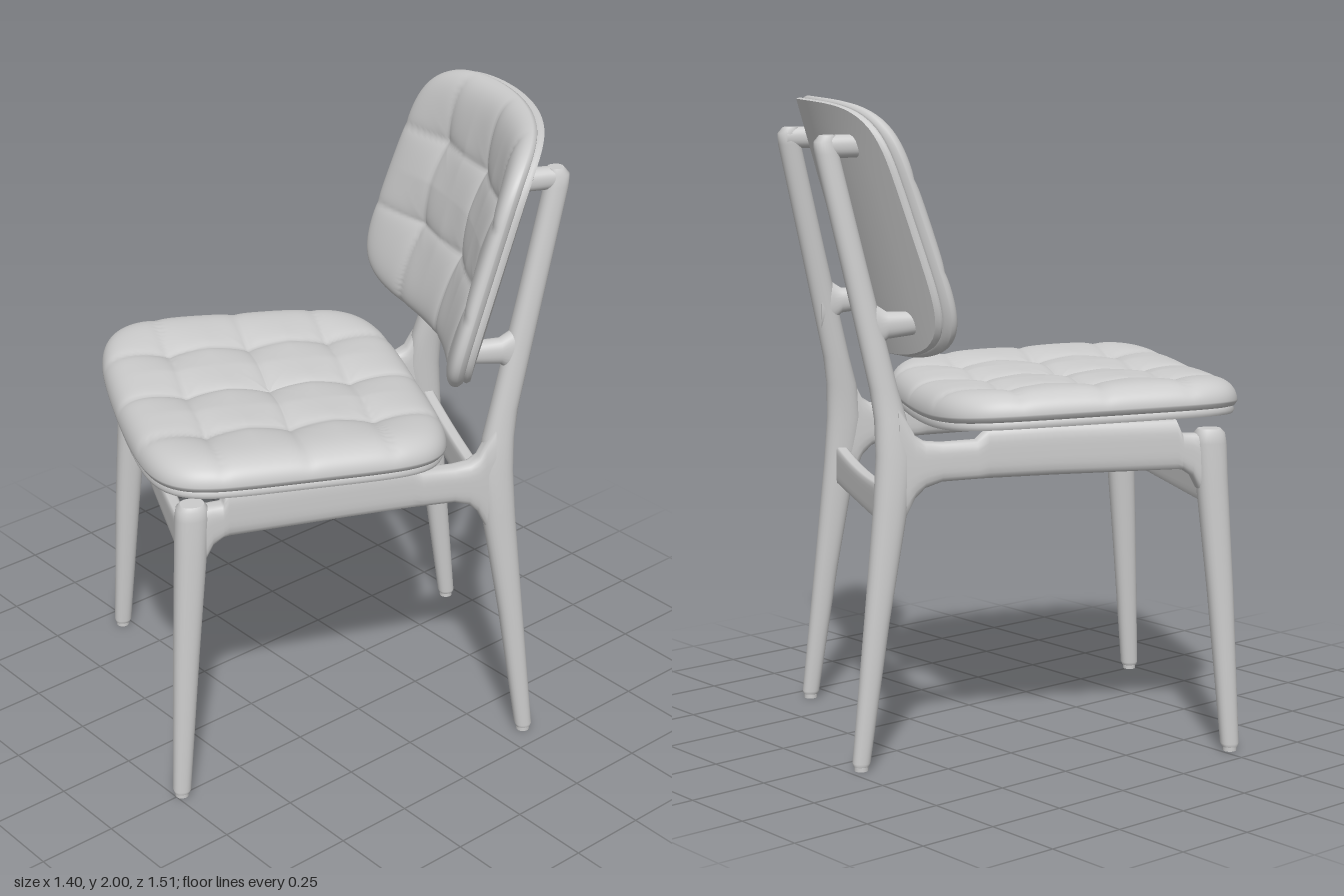
import * as THREE from 'three';

const material = new THREE.MeshStandardMaterial({ color: 0xcccccc, side: THREE.DoubleSide });

// Skin a list of closed rings (arrays of Vector3), facing outward.
function skin(rings) {
  const n = rings[0].length, index = [];
  const pts = rings.flat();
  for (let i = 0; i < rings.length - 1; i++) {
    for (let j = 0; j < n; j++) {
      const a = i * n + j, b = i * n + (j + 1) % n;
      index.push(a, b, a + n, b, b + n, a + n);
    }
  }
  let volume = 0;
  const c = new THREE.Vector3();
  for (let i = 0; i < index.length; i += 3) {
    volume += pts[index[i]].dot(c.crossVectors(pts[index[i + 1]], pts[index[i + 2]]));
  }
  if (volume < 0) index.reverse();
  const g = new THREE.BufferGeometry().setFromPoints(pts);
  g.setIndex(index);
  g.computeVertexNormals();
  return g;
}

// Point on a unit superellipse at angle t.
function superPoint(t, n) {
  const c = Math.cos(t), s = Math.sin(t);
  const r = (Math.abs(c) ** n + Math.abs(s) ** n) ** (-1 / n);
  return [r * c, r * s];
}

// Loft through rows [x, y, z, halfU, halfV]; sections lie across the given axis.
function loft(rows, axis, power = 2.4, seg = 28) {
  const first = rows[0], last = rows[rows.length - 1];
  const flat = (r) => [r[0], r[1], r[2], 0, 0];
  const all = [flat(first), first, ...rows, last, flat(last)];
  return skin(all.map(([x, y, z, u, v]) => Array.from({ length: seg }, (_, j) => {
    const [a, b] = superPoint(j / seg * Math.PI * 2, power);
    if (axis === 'y') return new THREE.Vector3(x + a * u, y, z + b * v);
    if (axis === 'z') return new THREE.Vector3(x + a * u, y + b * v, z);
    return new THREE.Vector3(x, y + b * v, z + a * u);
  })));
}

// Upholstery or shell: profile rows [r, h] pushed through an outline and a placing rule.
function pad(profile, power, place, seg) {
  return skin(profile.map(([r, h]) => Array.from({ length: seg }, (_, j) => {
    const t = j / seg * Math.PI * 2;
    const [a, b] = superPoint(t, power(t));
    return place(a * r, b * r, h, r);
  })));
}

function cushionProfile(thickness, rings) {
  const p = [];
  for (let i = 0; i <= rings; i++) {
    const r = Math.sin(i / rings * Math.PI / 2);
    p.push([r, thickness * Math.sqrt(Math.max(0, 1 - r ** 10))]);
  }
  p.push([0.985, -0.012], [0.96, -0.015], [0, -0.015]);
  return p;
}

const shellProfile = [[0, 0.022], [0.5, 0.022], [0.975, 0.022], [0.975, 0.022], [0.985, 0.011],
  [0.975, 0], [0.975, 0], [0.8, 0], [0.6, 0], [0.4, 0], [0.2, 0], [0, 0]];

// Depth of the stitched seams and pulled buttons at (p, q).
function tuft(p, q, ps, qs, seam, button) {
  let d = 0;
  const dp = Math.min(...ps.map((v) => Math.abs(p - v)));
  const dq = Math.min(...qs.map((v) => Math.abs(q - v)));
  d += seam * Math.exp(-Math.min(dp, dq) / 0.022);
  return d + button * Math.exp(-Math.hypot(dp, dq) / 0.07);
}

// Seat surface rule: slightly dished, rising to the front, bowed front and back edges.
function placeSeat(lift, tufted) {
  return (a, b, h, r) => {
    const x = a * (0.548 + 0.018 * b);
    const z = 0.135 + 0.462 * b * (1 + 0.05 * (1 - a * a));
    const base = 1.01 + 0.03 * (x / 0.55) ** 2 + 0.025 * z;
    const dip = tufted && h > 0
      ? tuft(x, z, [-0.285, 0, 0.285], [-0.12, 0.14, 0.4], 0.012, 0.032) * Math.sqrt(Math.max(0, 1 - r ** 8)) : 0;
    return new THREE.Vector3(x, base + lift + h - dip, z);
  };
}

// Backrest surface rule: leaning back and wrapped around the sitter.
function placeBack(lift, tufted) {
  return (a, b, h, r) => {
    const y = 1.61 + 0.39 * b - (b > 0 ? 0.02 * a * a * b : 0);
    const x = a * (0.487 - 0.03 * b);
    const base = -0.47 - 0.27 * (y - 1.22) + 0.6 * x * x;
    const dip = tufted && h > 0
      ? tuft(x, y, [-0.265, 0, 0.265], [1.5, 1.77], 0.01, 0.028) * Math.sqrt(Math.max(0, 1 - r ** 8)) : 0;
    return new THREE.Vector3(x, y, base + lift + h - dip);
  };
}

export function createModel() {
  const model = new THREE.Group();
  const chair = new THREE.Group();
  chair.name = 'chair';
  model.add(chair);
  const add = (name, geometry) => {
    const m = new THREE.Mesh(geometry, material);
    m.name = name;
    chair.add(m);
    return m;
  };

  // Seat and backrest, each a thin shell with a tufted cushion
  const seatPower = () => 5.5;
  const backPower = (t) => (Math.sin(t) > 0 ? 6 : 4.5);
  add('seatShell', pad(shellProfile, seatPower, placeSeat(0, false), 128));
  add('seatCushion', pad(cushionProfile(0.09, 64), seatPower, placeSeat(0.036, true), 224));
  add('backrestShell', pad(shellProfile, backPower, placeBack(0, false), 128));
  add('backrestCushion', pad(cushionProfile(0.065, 64), backPower, placeBack(0.036, true), 224));

  for (const s of [1, -1]) {
    const side = s > 0 ? 'left' : 'right';

    // Tapered front leg with a softened top
    add(side + 'FrontLeg', loft([
      [s * 0.512, 0.014, 0.546, 0.024, 0.024], [s * 0.511, 0.025, 0.545, 0.028, 0.028],
      [s * 0.49, 0.5, 0.516, 0.037, 0.04], [s * 0.47, 0.85, 0.491, 0.043, 0.049],
      [s * 0.466, 0.96, 0.485, 0.044, 0.051], [s * 0.465, 0.99, 0.484, 0.04, 0.047],
      [s * 0.465, 1.003, 0.483, 0.03, 0.036],
    ], 'y'));

    // Back leg running up into the backrest post
    add(side + 'BackPost', loft([
      [s * 0.425, 0.014, -0.595, 0.023, 0.023], [s * 0.424, 0.025, -0.594, 0.027, 0.027],
      [s * 0.409, 0.45, -0.54, 0.036, 0.038], [s * 0.396, 0.8, -0.492, 0.041, 0.052],
      [s * 0.39, 0.95, -0.478, 0.041, 0.056], [s * 0.38, 1.06, -0.488, 0.039, 0.048],
      [s * 0.37, 1.15, -0.506, 0.037, 0.042], [s * 0.345, 1.5, -0.583, 0.035, 0.038],
      [s * 0.318, 1.84, -0.658, 0.033, 0.036], [s * 0.316, 1.875, -0.662, 0.031, 0.034],
      [s * 0.315, 1.895, -0.655, 0.022, 0.024],
    ], 'y'));

    // Side rail: rows of z, bottom, top; flared into the legs, raised under the seat
    const rail = [[0.485, 0.78, 0.985], [0.445, 0.82, 0.99], [0.425, 0.86, 0.99], [0.395, 0.88, 0.99],
      [0.39, 0.881, 1.0], [0.375, 0.882, 1.035], [0, 0.878, 1.03], [-0.2, 0.874, 1.022],
      [-0.235, 0.873, 0.99], [-0.34, 0.868, 0.985], [-0.39, 0.85, 0.99], [-0.42, 0.82, 1.01],
      [-0.44, 0.78, 1.05], [-0.47, 0.72, 1.1]];
    add(side + 'SideRail', loft(rail.map(([z, y0, y1]) =>
      [s * (0.428 + 0.079 * z), (y0 + y1) / 2, z, 0.034, (y1 - y0) / 2]), 'z', 4));

    // Pegs holding the backrest: hooked top and flared lower bracket
    add(side + 'UpperPeg', loft([
      [s * 0.315, 1.862, -0.67, 0.031, 0.032], [s * 0.315, 1.862, -0.62, 0.031, 0.034],
      [s * 0.315, 1.862, -0.565, 0.031, 0.034],
    ], 'z'));
    add(side + 'LowerPeg', loft([
      [s * 0.355, 1.33, -0.56, 0.033, 0.09], [s * 0.355, 1.33, -0.52, 0.032, 0.065],
      [s * 0.355, 1.335, -0.49, 0.031, 0.04], [s * 0.355, 1.34, -0.4, 0.03, 0.034],
    ], 'z'));

    // Floor glides
    for (const [name, x, z] of [['Front', 0.512, 0.546], ['Back', 0.425, -0.595]]) {
      add(side + name + 'Glide', new THREE.CylinderGeometry(0.021, 0.021, 0.02, 20)).position.set(s * x, 0.01, z);
    }
  }

  // Cross rails with a scooped top edge
  const crossRail = (half, z, bottom, top, rise) => loft(
    Array.from({ length: 13 }, (_, i) => {
      const k = i / 6 - 1, y1 = top + rise * k * k;
      return [k * half, (bottom + y1) / 2, z, 0.02, (y1 - bottom) / 2];
    }), 'x', 8, 32);
  add('frontRail', crossRail(0.465, 0.488, 0.77, 0.865, 0.035));
  add('backRail', crossRail(0.395, -0.492, 0.73, 0.835, 0.02));

  // The chair stands turned on the floor
  chair.rotation.y = -26 * Math.PI / 180;
  chair.position.set(0.03, 0, 0.014);
  return model;
}
